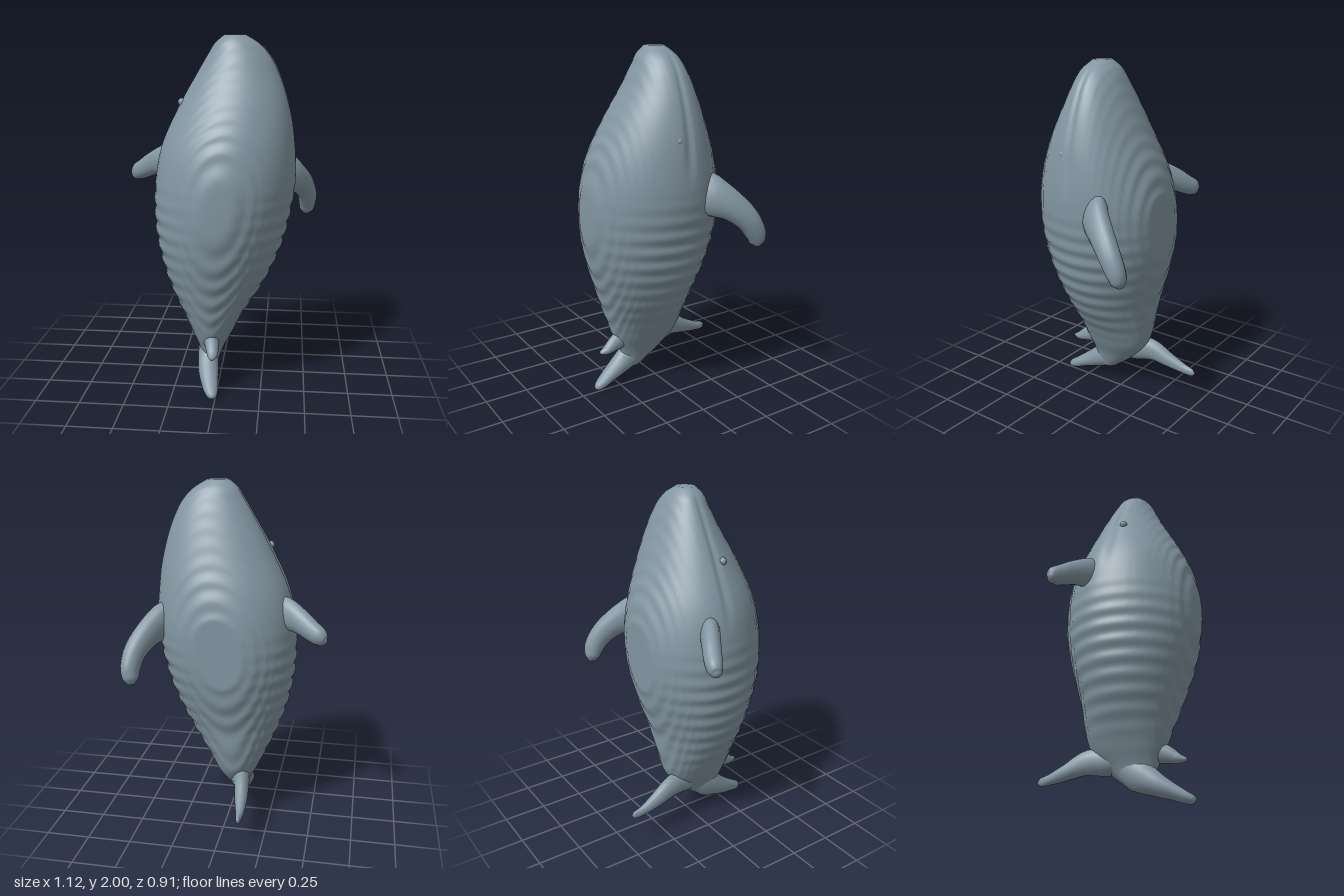
import * as THREE from 'three';

const V = (x, y, z) => new THREE.Vector3(x, y, z);
const SKIN = new THREE.MeshStandardMaterial({ color: 0x8396a2 });

// Closed skin through a list of rings, with both ends drawn to a point.
function loft(name, rings) {
  const n = rings[0].length, pos = [], idx = [];
  rings.forEach(r => r.forEach(p => pos.push(p.x, p.y, p.z)));
  for (let i = 0; i < rings.length - 1; i++) {
    for (let j = 0; j < n; j++) {
      const a = i * n + j, b = i * n + (j + 1) % n;
      idx.push(a, a + n, b, b, a + n, b + n);
    }
  }
  for (const [ring, base, flip] of [[rings[0], 0, false], [rings.at(-1), (rings.length - 1) * n, true]]) {
    const c = ring.reduce((s, p) => s.add(p), V(0, 0, 0)).divideScalar(n);
    const k = pos.push(c.x, c.y, c.z) / 3 - 1;
    for (let j = 0; j < n; j++) {
      const a = base + j, b = base + (j + 1) % n;
      idx.push(k, ...(flip ? [b, a] : [a, b]));
    }
  }
  const g = new THREE.BufferGeometry();
  g.setAttribute('position', new THREE.Float32BufferAttribute(pos, 3));
  g.setIndex(idx);
  g.computeVertexNormals();
  const mesh = new THREE.Mesh(g, SKIN);
  mesh.name = name;
  return mesh;
}

// Flat, rounded limb along a path. Rows: x, y, z, half width, half thickness.
function limb(name, rows, flat) {
  const curve = new THREE.CatmullRomCurve3(rows.map(r => V(r[0], r[1], r[2])));
  const rings = [], steps = 25, sides = 16;
  for (let i = 0; i <= steps; i++) {
    const t = i / steps, f = t * (rows.length - 1);
    const k = Math.min(Math.floor(f), rows.length - 2);
    const w = THREE.MathUtils.lerp(rows[k][3], rows[k + 1][3], f - k);
    const h = THREE.MathUtils.lerp(rows[k][4], rows[k + 1][4], f - k);
    const c = curve.getPoint(t), tan = curve.getTangent(t);
    const side = tan.clone().cross(flat).normalize();
    const up = side.clone().cross(tan).normalize();
    const ring = [];
    for (let j = 0; j < sides; j++) {
      const a = j / sides * Math.PI * 2;
      ring.push(c.clone().addScaledVector(side, w * Math.cos(a)).addScaledVector(up, h * Math.sin(a)));
    }
    rings.push(ring);
  }
  return loft(name, rings);
}

// Upright body. Rows: y, x min, x max, z back, z front.
const BODY = [
  [0.09, -0.10, -0.02, 0.08, 0.20], [0.2, -0.12, 0.025, -0.06, 0.215],
  [0.3, -0.165, 0.08, -0.15, 0.26], [0.4, -0.21, 0.13, -0.185, 0.295],
  [0.6, -0.295, 0.25, -0.22, 0.36], [0.8, -0.35, 0.34, -0.275, 0.42],
  [1.0, -0.375, 0.395, -0.315, 0.455], [1.2, -0.37, 0.425, -0.315, 0.455],
  [1.4, -0.33, 0.42, -0.27, 0.415], [1.6, -0.24, 0.39, -0.195, 0.33],
  [1.8, -0.13, 0.325, -0.115, 0.225], [1.9, -0.07, 0.27, -0.07, 0.18],
  [1.96, -0.03, 0.21, -0.035, 0.15], [2.0, 0.02, 0.14, 0.01, 0.11],
];

function makeBody() {
  const profile = new THREE.CubicInterpolant(BODY.map(r => r[0]), BODY.flatMap(r => r.slice(1)), 4);
  const rings = [], rows = 160, sides = 112, tau = Math.PI * 2;
  const step = THREE.MathUtils.smoothstep;
  for (let i = 0; i <= rows; i++) {
    const y = 0.09 + 1.91 * i / rows;
    const [x0, x1, zb, zf] = profile.evaluate(y);
    const cx = (x0 + x1) / 2, cz = zb * 0.55 + zf * 0.45, rx = (x1 - x0) / 2;
    // shallow rows of ridges on the lower flanks
    const ridge = 1 + 0.014 * step(y, 0.25, 0.5) * (1 - step(y, 0.9, 1.3)) * Math.sin(tau * y / 0.09);
    // mouth seam along both sides of the head
    const seam = step(y, 1.25, 1.5) * (1 - step(y, 1.94, 2.0));
    // stepped contour rings on belly and back, fading towards the head and tail
    const terrace = 0.004 * step(y, 0.2, 0.5) * (1 - 0.75 * step(y, 1.35, 1.7));
    const ring = [];
    for (let j = 0; j < sides; j++) {
      const a = j / sides * tau, s = Math.sin(a);
      let x = rx * Math.cos(a) * ridge;
      let z = cz + (s < 0 ? cz - zb : zf - cz) * s;
      x *= 1 - 0.05 * seam * Math.exp(-(((z - 0.05) / 0.015) ** 2));
      z -= terrace * Math.sin(tau * z / 0.035) * Math.abs(s);
      ring.push(V(cx + x, y, Math.max(z, -0.297)));
    }
    rings.push(ring);
  }
  return loft('body', rings);
}

export function createModel() {
  const model = new THREE.Group();
  model.name = 'whale';
  model.add(makeBody());

  // Flippers with blunt tips, bent into different poses
  model.add(limb('leftFlipper', [
    [0.27, 1.27, -0.03, 0.12, 0.05], [0.38, 1.215, -0.11, 0.115, 0.065],
    [0.455, 1.15, -0.21, 0.082, 0.062], [0.495, 1.075, -0.285, 0.068, 0.058],
    [0.505, 1.0, -0.33, 0.06, 0.052], [0.50, 0.95, -0.347, 0.046, 0.045],
    [0.495, 0.92, -0.355, 0.018, 0.018],
  ], V(0.85, 0.1, 0.5).normalize()));
  model.add(limb('rightFlipper', [
    [-0.20, 1.31, 0.0, 0.08, 0.045], [-0.32, 1.29, -0.06, 0.095, 0.055],
    [-0.41, 1.26, -0.115, 0.07, 0.052], [-0.47, 1.225, -0.15, 0.06, 0.05],
    [-0.515, 1.20, -0.172, 0.054, 0.045], [-0.545, 1.18, -0.18, 0.036, 0.03],
    [-0.557, 1.175, -0.185, 0.012, 0.012],
  ], V(0.45, 0, -0.9).normalize()));

  // Tail flukes, spread front to back
  const across = V(1, 0, 0);
  model.add(limb('backFluke', [
    [-0.06, 0.25, 0.08, 0.06, 0.06], [-0.07, 0.26, -0.06, 0.08, 0.06],
    [-0.095, 0.26, -0.17, 0.07, 0.045], [-0.11, 0.22, -0.28, 0.046, 0.038],
    [-0.12, 0.187, -0.38, 0.03, 0.023], [-0.12, 0.177, -0.44, 0.024, 0.012],
    [-0.12, 0.175, -0.457, 0.008, 0.004],
  ], across));
  model.add(limb('frontFluke', [
    [-0.06, 0.25, 0.03, 0.08, 0.06], [-0.065, 0.17, 0.12, 0.09, 0.06],
    [-0.055, 0.11, 0.22, 0.06, 0.06], [-0.04, 0.07, 0.30, 0.042, 0.05],
    [-0.025, 0.04, 0.36, 0.032, 0.04], [-0.015, 0.027, 0.395, 0.024, 0.027],
    [-0.012, 0.023, 0.41, 0.01, 0.012],
  ], across));

  // Small fin above the front fluke
  model.add(limb('smallFin', [
    [-0.05, 0.30, 0.17, 0.07, 0.05], [-0.03, 0.275, 0.26, 0.05, 0.04],
    [-0.02, 0.245, 0.33, 0.026, 0.03], [-0.02, 0.238, 0.37, 0.01, 0.012],
  ], across));

  // Eyes, set almost flush with the skin
  for (const [name, x, y] of [['leftEye', 0.38, 1.53], ['rightEye', -0.21, 1.64]]) {
    const eye = new THREE.Mesh(new THREE.SphereGeometry(0.022, 12, 8), SKIN);
    eye.name = name;
    eye.position.set(x, y, 0.1);
    model.add(eye);
  }
  return model;
}
